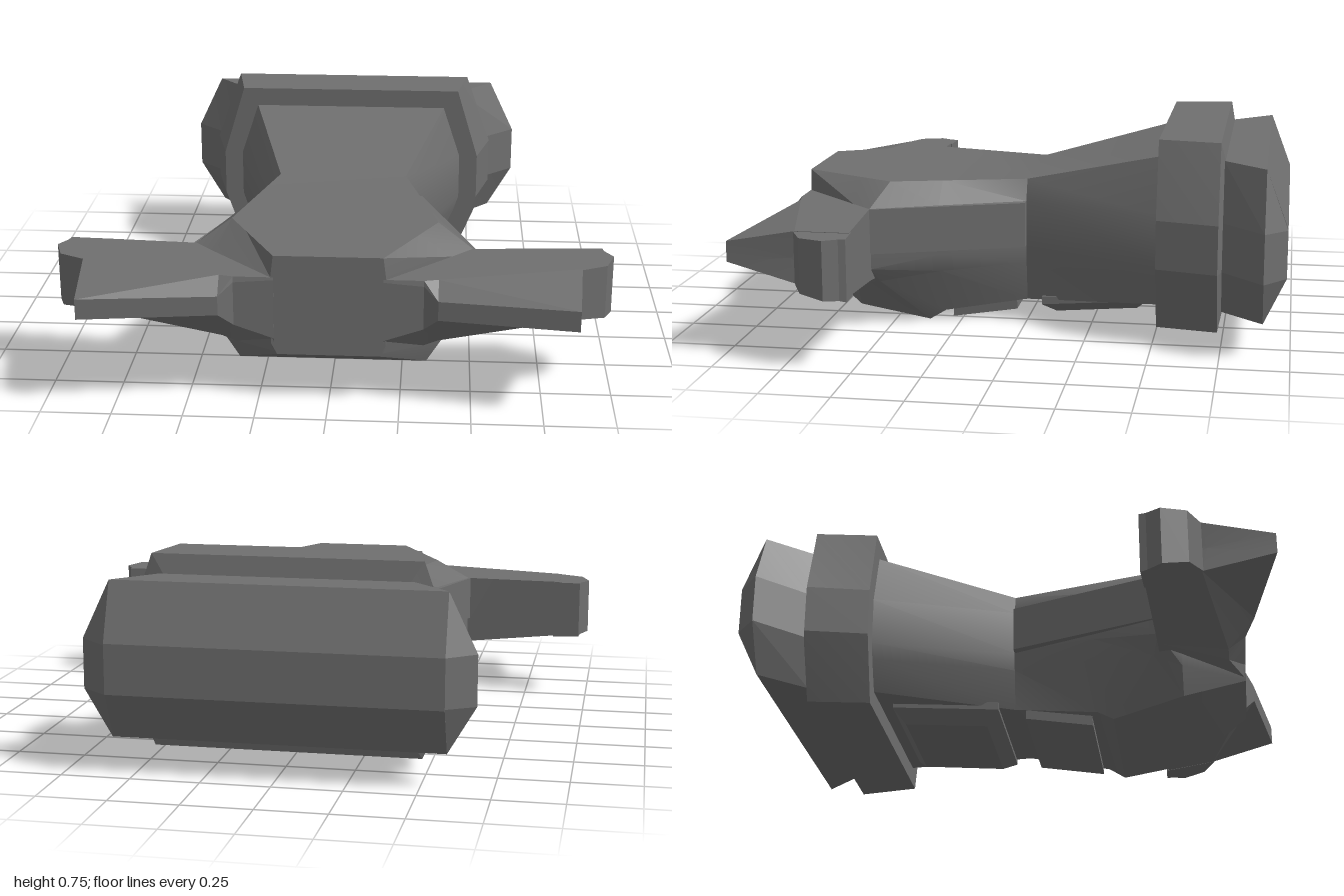
import * as THREE from 'three';
import { toCreasedNormals } from 'three/addons/utils/BufferGeometryUtils.js';

const material = new THREE.MeshStandardMaterial({ color: 0x6f6f6f });

// Skins equal-length rings of [x, y, z] points, caps both ends, and turns faces outward.
function loft(name, rings, crease = 0.1) {
  const n = rings[0].length;
  const tris = [];
  for (let r = 0; r < rings.length - 1; r++) {
    for (let i = 0; i < n; i++) {
      const j = (i + 1) % n;
      const [a, b, c, d] = [rings[r][i], rings[r][j], rings[r + 1][j], rings[r + 1][i]];
      tris.push([a, b, c], [a, c, d]);
    }
  }
  const cap = (ring, flip) => {
    const mid = [0, 1, 2].map(k => ring.reduce((sum, p) => sum + p[k], 0) / n);
    ring.forEach((p, i) => {
      const q = ring[(i + 1) % n];
      tris.push(flip ? [mid, q, p] : [mid, p, q]);
    });
  };
  cap(rings[0], true);
  cap(rings[rings.length - 1], false);

  let volume = 0;
  for (const [a, b, c] of tris) {
    volume += a[0] * (b[1] * c[2] - b[2] * c[1]) + a[1] * (b[2] * c[0] - b[0] * c[2])
      + a[2] * (b[0] * c[1] - b[1] * c[0]);
  }
  if (volume < 0) tris.forEach(t => t.reverse());
  const geometry = new THREE.BufferGeometry();
  geometry.setAttribute('position', new THREE.Float32BufferAttribute(tris.flat(2), 3));
  const mesh = new THREE.Mesh(toCreasedNormals(geometry, crease), material);
  mesh.name = name;
  return mesh;
}

// Mirrors a half section, listed top to bottom as [x, y, optional own z].
function section(z, half) {
  const left = half.map(([x, y, pz = z]) => [x, y, pz]);
  return [...left, ...left.map(([x, y, pz]) => [-x, y, pz]).reverse()];
}

// Upright prism from an [x, z] outline, with its own floor height per corner.
const prism = (name, outline, top, floors, s) => loft(name, [
  outline.map(([x, z]) => [s * x, top, z]),
  outline.map(([x, z], i) => [s * x, floors[i], z]),
]);

// Rectangular plate: [half width, [front y, front z], [back y, back z]] per level.
const plate = (name, levels) => loft(name, levels.map(([w, f, b]) =>
  [[-w, ...f], [w, ...f], [w, ...b], [-w, ...b]]));

export function createModel() {
  const ship = new THREE.Group();
  ship.name = 'spacecraft';

  // Hull, from nose to tail: top, shoulder, lower shoulder, chine, belly
  ship.add(loft('hull', [
    section(0.86, [[0.19, 0.55], [0.2, 0.47], [0.2, 0.28], [0.2, 0.22], [0.18, 0.18]]),
    section(0.63, [[0.308, 0.55], [0.425, 0.47], [0.425, 0.22], [0.4, 0.155], [0.34, 0.06]]),
    section(0.5, [[0.375, 0.55], [0.5, 0.47, 0.55], [0.5, 0.24, 0.55], [0.44, 0.18, 0.53], [0.3, 0, 0.37]]),
    section(0.31, [[0.326, 0.55], [0.4, 0.47], [0.4, 0.28], [0.37, 0.21], [0.29, 0.035]]),
    section(0, [[0.245, 0.55], [0.275, 0.47], [0.275, 0.3], [0.27, 0.23], [0.245, 0.08]]),
    section(-0.52, [[0.39, 0.68], [0.46, 0.47], [0.46, 0.29], [0.44, 0.23], [0.39, 0.12]]),
  ], 0.5));

  // Collar around the tail, closing in on the engine block
  const band = (z, narrow, wide, top, bottom) =>
    section(z, [[narrow, top], [wide, 0.47], [wide, 0.29], [narrow, bottom]]);
  ship.add(loft('tailCollar', [
    band(-0.51, 0.445, 0.53, 0.75, 0.05),
    band(-0.735, 0.485, 0.585, 0.75, 0.05),
    band(-0.75, 0.44, 0.53, 0.68, 0.12),
  ]));

  // Engine block with its bevelled rear
  ship.add(loft('engineBlock', [
    band(-0.745, 0.45, 0.53, 0.68, 0.12),
    band(-0.9, 0.59, 0.69, 0.68, 0.12),
    section(-0.98, [[0.59, 0.47], [0.59, 0.465], [0.59, 0.295], [0.59, 0.29]]),
  ]));

  // Belly plates
  ship.add(plate('frontBellyPlate', [
    [0.25, [0.06, 0.285], [0.1, 0.04]],
    [0.25, [0, 0.29], [0.04, 0.04]],
  ]));
  ship.add(plate('rearBellyPlate', [
    [0.28, [0.1, -0.06], [0.13, -0.46]],
    [0.28, [0.07, -0.06], [0.1, -0.46]],
    [0.22, [0.03, -0.11], [0.055, -0.42]],
  ]));

  for (const s of [1, -1]) {
    const side = s > 0 ? 'left' : 'right';

    // Side slab along the waist
    ship.add(prism(side + 'SideSlab',
      [[0.2, 0], [0.31, 0], [0.51, 0.55], [0.2, 0.86]], 0.47, [0.3, 0.3, 0.3, 0.3], s));

    // Wing: rear top, crest, front top, front bottom, keel, rear bottom
    const rib = (x, points) => points.map(([z, y, px = x]) => [s * px, y, z]);
    ship.add(loft(side + 'Wing', [
      rib(0.19, [[0.55, 0.47], [0.86, 0.47], [0.862, 0.46], [0.862, 0.24], [0.855, 0.19], [0.55, 0.19]]),
      rib(0.33, [[0.55, 0.47, 0.5], [0.86, 0.47], [0.865, 0.45], [0.865, 0.29], [0.8, 0.2], [0.55, 0.19, 0.44]]),
      rib(0.38, [[0.548, 0.47, 0.53], [0.847, 0.47], [0.9, 0.41], [0.9, 0.34], [0.8, 0.22], [0.548, 0.2, 0.5]]),
      rib(0.88, [[0.525, 0.47], [0.72, 0.47], [0.978, 0.42, 0.86], [0.978, 0.345, 0.86], [0.72, 0.28], [0.525, 0.245]]),
    ]));

    // Wing tip block
    ship.add(prism(side + 'WingTip',
      [[0.86, 0.522], [0.965, 0.515], [0.97, 0.54], [1, 0.59], [0.97, 0.68], [0.88, 0.725]],
      0.468, [0.24, 0.245, 0.25, 0.255, 0.27, 0.28], s));
  }
  return ship;
}
